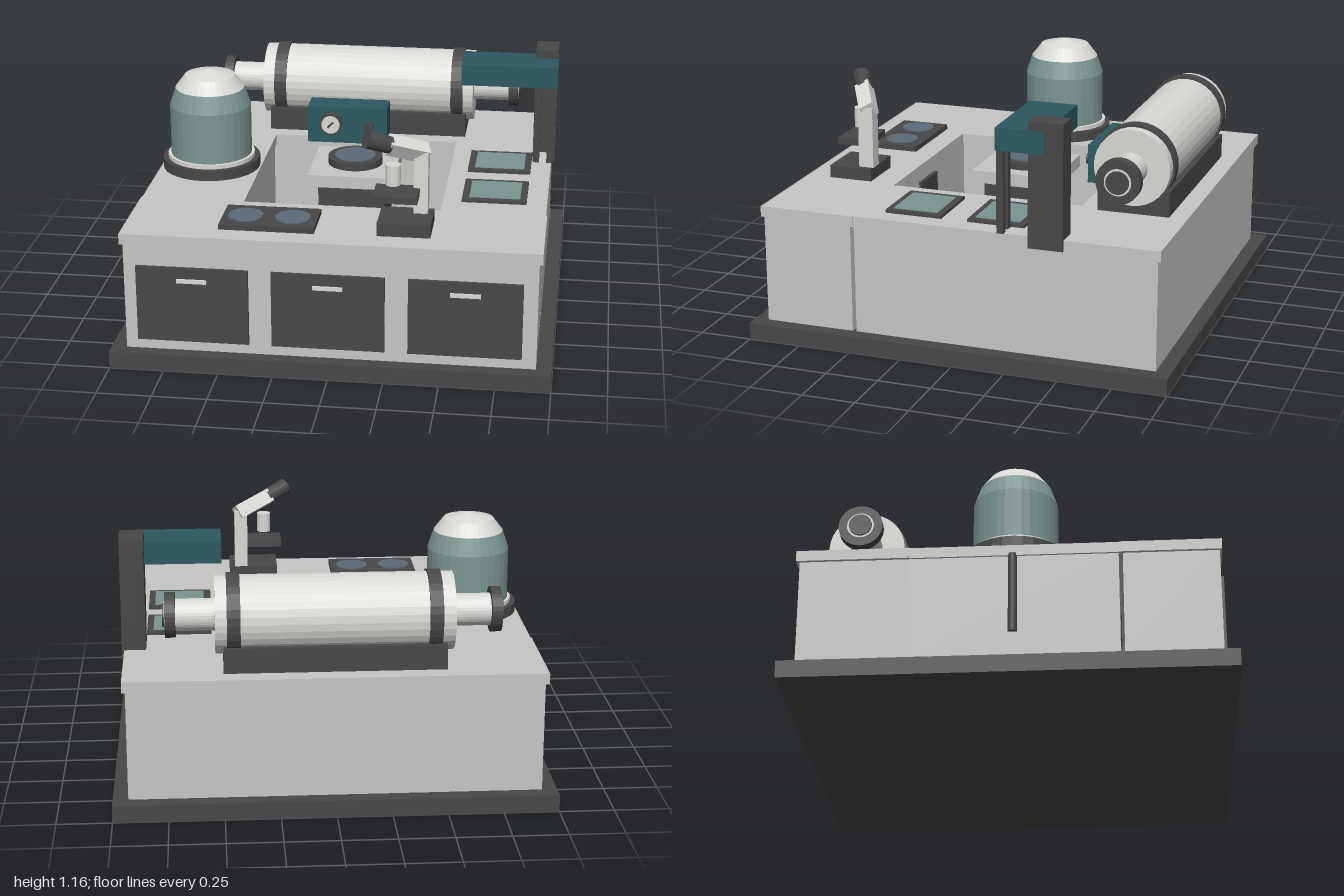
import * as THREE from 'three';

const paint = (name, color) => Object.assign(new THREE.MeshStandardMaterial({ color, flatShading: true }), { name });

export function createModel() {
  const counter = paint('counter grey', 0xc6c6c4);
  const steel = paint('pale steel', 0xd9d9d5);
  const dark = paint('charcoal', 0x484848);
  const teal = paint('deep teal', 0x2c5860);
  const glass = paint('green glass', 0x7c9692);
  const blue = paint('slate blue', 0x5c6a78);
  const root = new THREE.Group();
  root.name = 'laboratoryIsland';

  const group = (name) => {
    const g = new THREE.Group();
    g.name = name;
    root.add(g);
    return g;
  };
  const add = (parent, name, geo, mat, x, y, z) => {
    const m = new THREE.Mesh(geo, mat);
    m.name = name;
    m.position.set(x, y, z);
    parent.add(m);
    return m;
  };
  // Box given by its limits along x, y and z
  const box = (parent, name, mat, x0, x1, y0, y1, z0, z1) =>
    add(parent, name, new THREE.BoxGeometry(x1 - x0, y1 - y0, z1 - z0), mat,
      (x0 + x1) / 2, (y0 + y1) / 2, (z0 + z1) / 2);
  // Upright disc or rod
  const rod = (parent, name, mat, r, x, y0, y1, z) =>
    add(parent, name, new THREE.CylinderGeometry(r, r, y1 - y0, 32), mat, x, (y0 + y1) / 2, z);
  // Cylinder lying along x
  const rodX = (parent, name, mat, r, x0, x1, y, z) => {
    const m = add(parent, name, new THREE.CylinderGeometry(r, r, x1 - x0, 32), mat, (x0 + x1) / 2, y, z);
    m.rotation.z = Math.PI / 2;
    return m;
  };
  // Cylinder lying along z
  const rodZ = (parent, name, mat, r, x, y, z0, z1) => {
    const m = add(parent, name, new THREE.CylinderGeometry(r, r, z1 - z0, 24), mat, x, y, (z0 + z1) / 2);
    m.rotation.x = Math.PI / 2;
    return m;
  };

  // Floor plate
  box(root, 'floorPlate', dark, -1, 1, 0, 0.08, -1, 1);

  // Cabinets round an open well, with a slit behind the front one
  const cabinets = group('cabinets');
  box(cabinets, 'frontCabinet', counter, -0.93, 0.93, 0.08, 0.59, 0.508, 0.935);
  box(cabinets, 'backCabinet', counter, -0.93, 0.93, 0.08, 0.59, -0.93, -0.45);
  box(cabinets, 'frontTop', counter, -0.945, 0.945, 0.59, 0.64, 0.49, 0.945);
  box(cabinets, 'backTop', counter, -0.945, 0.945, 0.59, 0.64, -0.945, -0.44);
  for (const s of [-1, 1]) {
    const [a, b] = s < 0 ? [-0.93, -0.47] : [0.47, 0.93];
    box(cabinets, 'sideCabinet', counter, a, b, 0.08, 0.59, -0.45, 0.49);
    const [c, d] = s < 0 ? [-0.94, -0.458] : [0.458, 0.94];
    box(cabinets, 'sideTop', counter, c, d, 0.59, 0.64, -0.44, 0.49);
  }
  box(cabinets, 'innerPanel', dark, -0.1, 0.1, 0.42, 0.545, 0.49, 0.508);

  // Drawers with handles
  for (const x of [-0.618, -0.004, 0.61]) {
    box(cabinets, 'drawer', dark, x - 0.255, x + 0.255, 0.13, 0.49, 0.93, 0.95);
    box(cabinets, 'handle', steel, x - 0.068, x + 0.068, 0.42, 0.438, 0.95, 0.96);
  }

  // Pedestal in the well with a round plate
  const pedestal = group('pedestal');
  box(pedestal, 'column', dark, -0.16, 0.16, 0.08, 0.61, -0.175, 0.145);
  box(pedestal, 'slab', counter, -0.205, 0.205, 0.61, 0.67, -0.22, 0.19);
  rod(pedestal, 'plateRim', dark, 0.132, 0, 0.67, 0.705, -0.018);
  rod(pedestal, 'plate', blue, 0.098, 0, 0.7, 0.71, -0.018);

  // Bell jar and its drain pipe
  const jar = group('bellJar');
  const lathe = (name, mat, pts) =>
    add(jar, name, new THREE.LatheGeometry(pts.map(p => new THREE.Vector2(...p)), 32), mat, -0.7, 0, 0.02);
  rod(jar, 'jarBase', dark, 0.235, -0.7, 0.64, 0.69, 0.02);
  rod(jar, 'jarCollar', steel, 0.21, -0.7, 0.69, 0.71, 0.02);
  lathe('jarGlass', glass, [[0.195, 0.705], [0.195, 0.955], [0.166, 1.04]]);
  lathe('jarCap', steel, [[0.166, 1.04], [0.12, 1.1], [0, 1.13]]);
  rod(jar, 'drainPipe', dark, 0.02, -0.93, 0.22, 0.6, 0.02);

  // Large horizontal vessel on a cradle
  const vessel = group('vessel');
  const vy = 0.865, vz = -0.692;
  box(vessel, 'cradle', dark, -0.5, 0.495, 0.64, 0.755, -0.86, -0.524);
  rodX(vessel, 'body', steel, 0.177, -0.535, 0.53, vy, vz);
  for (const s of [-1, 1]) {
    const tube = (name, mat, r, a, b) =>
      rodX(vessel, name, mat, r, Math.min(s * a, s * b), Math.max(s * a, s * b), vy, vz);
    tube('band', dark, 0.187, 0.418, 0.478);
    tube('neck', steel, 0.073, 0.52, 0.71);
    tube('flange', dark, 0.102, 0.705, 0.752);
    tube('hubRing', steel, 0.062, 0.75, 0.755);
    tube('hub', dark, 0.053, 0.75, 0.763);
  }

  // Control box with gauge and knob
  const control = group('controlBox');
  box(control, 'case', teal, -0.285, 0.115, 0.64, 0.825, -0.505, -0.36);
  rodZ(control, 'gaugeRim', dark, 0.056, -0.165, 0.745, -0.36, -0.325);
  rodZ(control, 'gaugeFace', steel, 0.046, -0.165, 0.745, -0.33, -0.322);
  const needle = box(control, 'needle', dark, -0.185, -0.145, 0.74, 0.75, -0.322, -0.319);
  needle.rotation.z = 0.8;
  rodZ(control, 'knob', dark, 0.025, 0.025, 0.73, -0.36, -0.33);

  // Post with overhanging arm and two rods
  const crane = group('armStand');
  box(crane, 'post', dark, 0.845, 0.955, 0.59, 1.165, -0.508, -0.348);
  box(crane, 'arm', teal, 0.493, 0.958, 1.022, 1.125, -0.425, -0.198);
  for (const x of [0.865, 0.932]) box(crane, 'rod', dark, x - 0.016, x + 0.016, 0.64, 1.022, -0.231, -0.2);

  // Glass topped trays
  const trays = group('trays');
  for (const z of [-0.16, 0.235]) {
    box(trays, 'tray', dark, 0.545, 0.845, 0.64, 0.654, z - 0.135, z + 0.135);
    box(trays, 'trayGlass', glass, 0.578, 0.815, 0.652, 0.658, z - 0.106, z + 0.106);
  }

  // Double hot plate
  const heater = group('hotPlate');
  box(heater, 'heaterBase', dark, -0.512, -0.08, 0.64, 0.665, 0.597, 0.838);
  for (const x of [-0.408, -0.192]) rod(heater, 'heaterDisc', blue, 0.08, x, 0.662, 0.67, 0.717);

  // Microscope with slanted head
  const scope = group('microscope');
  box(scope, 'foot', dark, 0.2, 0.44, 0.64, 0.7, 0.615, 0.825);
  box(scope, 'pillar', steel, 0.35, 0.415, 0.7, 0.99, 0.612, 0.685);
  box(scope, 'stage', dark, 0.177, 0.378, 0.79, 0.822, 0.65, 0.81);
  rod(scope, 'objective', steel, 0.034, 0.263, 0.855, 0.95, 0.733);
  const slanted = (name, geo, mat, a, b) => {
    const from = new THREE.Vector3(...a), dir = new THREE.Vector3(...b).sub(from);
    const m = add(scope, name, geo(dir.length()), mat, 0, 0, 0);
    m.position.copy(from).addScaledVector(dir, 0.5);
    m.quaternion.setFromUnitVectors(new THREE.Vector3(0, 1, 0), dir.normalize());
  };
  slanted('head', l => new THREE.BoxGeometry(0.07, l, 0.07), steel, [0.4, 0.975, 0.635], [0.235, 1.04, 0.728]);
  slanted('eyepiece', l => new THREE.CylinderGeometry(0.04, 0.04, l, 20), dark, [0.245, 1.036, 0.722], [0.148, 1.078, 0.78]);

  return root;
}
